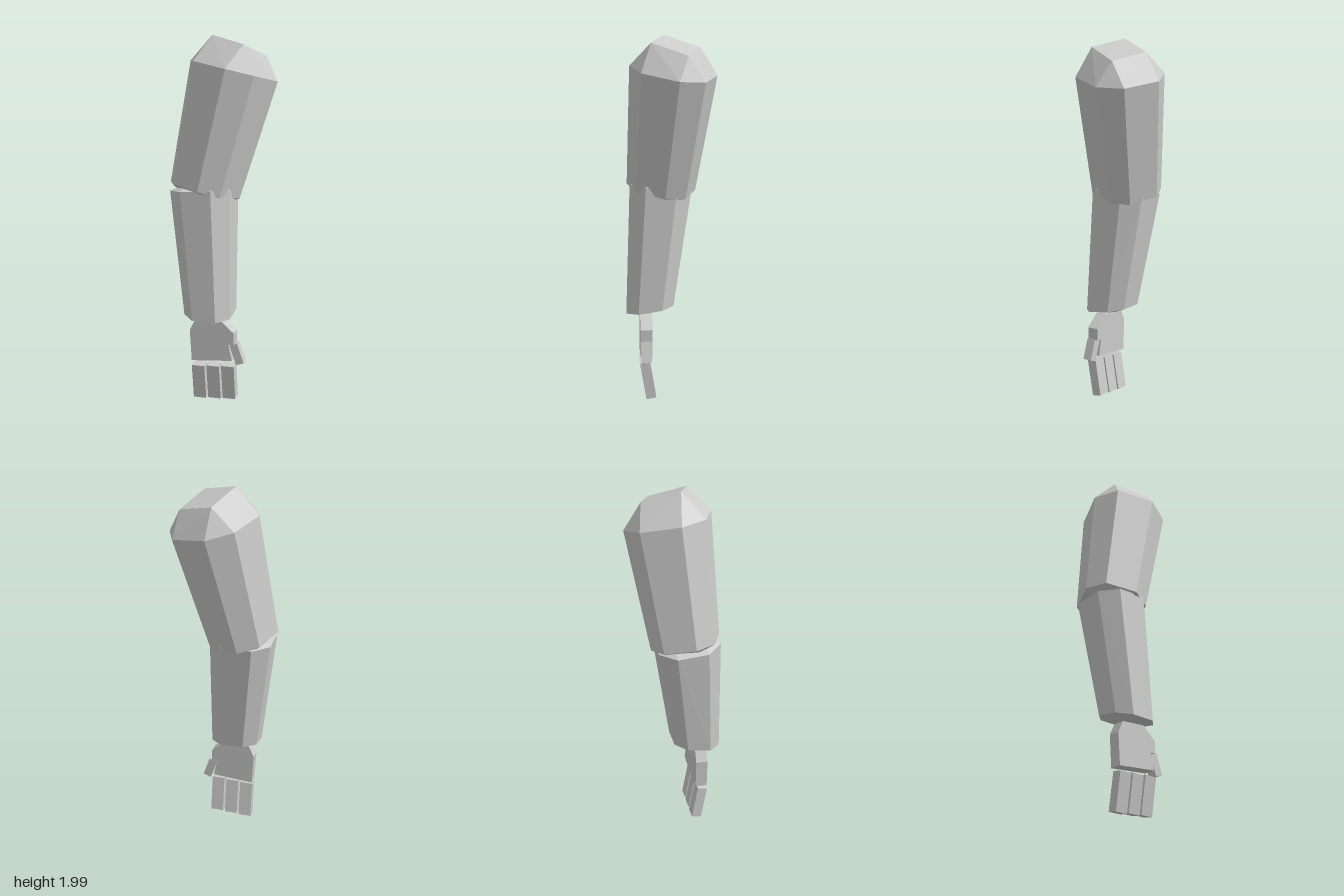
import * as THREE from 'three';
import { ConvexGeometry } from 'three/addons/geometries/ConvexGeometry.js';

const material = new THREE.MeshStandardMaterial({ color: 0xcccccc, flatShading: true });

function part(name, geometry) {
  const mesh = new THREE.Mesh(geometry, material);
  mesh.name = name;
  return mesh;
}

// Places flat outline points around a centre, turned by an angle and tilted by slopes in x and z
function section(outline, [cx, cy, cz], turn, slopeX, slopeZ) {
  return outline.map(([u, v]) => {
    const x = u * Math.cos(turn) - v * Math.sin(turn);
    const z = u * Math.sin(turn) + v * Math.cos(turn);
    return new THREE.Vector3(cx + x, cy + slopeX * x + slopeZ * z, cz + z);
  });
}

// Square outline, and a square with cut corners
const square = (h) => [[h, h], [-h, h], [-h, -h], [h, -h]];
const octagon = (h) => square(h).flatMap(([u, v]) => [[u, v / 2], [u / 2, v]]);

export function createModel() {
  const model = new THREE.Group();
  model.name = 'arm';

  // Upper arm: tapered octagonal prism with a faceted shoulder
  model.add(part('upperArm', new ConvexGeometry([
    ...section(square(0.102), [0.066, 1.943, 0.067], 0, -0.33, -0.21),
    ...section(octagon(0.21), [0.045, 1.81, 0.045], 0, -0.2, -0.15),
    ...section(octagon(0.17), [-0.065, 1.175, -0.065], 0, -0.2, -0.15),
    ...section(square(0.085), [-0.07, 1.135, -0.07], 0, -0.2, -0.15),
  ])));

  // Forearm: turned about its length, narrowing to the wrist
  const turn = -0.385;
  model.add(part('forearm', new ConvexGeometry([
    ...section(square(0.08), [-0.07, 1.215, -0.065], turn, -0.05, 0.08),
    ...section(octagon(0.167), [-0.07, 1.18, -0.065], turn, -0.05, 0.08),
    ...section(octagon(0.129), [-0.108, 0.51, 0.005], turn, 0.14, -0.08),
    ...section(square(0.065), [-0.108, 0.495, 0.005], turn, 0.14, -0.08),
  ])));

  // Hand, turned with the forearm
  const hand = new THREE.Group();
  hand.name = 'hand';
  hand.position.set(-0.12, 0, 0.035);
  hand.rotation.y = -turn;
  model.add(hand);

  // Palm: flat plate with bevelled upper corners and a notch for the thumb
  const outline = [[-0.115, 0.237], [0.115, 0.257], [0.095, 0.346], [0.125, 0.35],
    [0.125, 0.415], [0.045, 0.484], [-0.095, 0.474], [-0.125, 0.41]];
  const palm = new THREE.ExtrudeGeometry(
    new THREE.Shape(outline.map(([u, v]) => new THREE.Vector2(u, v))),
    { depth: 0.066, bevelEnabled: false });
  palm.translate(0, 0, -0.033).rotateY(-Math.PI / 2);
  hand.add(part('palm', palm));

  // Thumb
  const thumb = part('thumb', new THREE.BoxGeometry(0.052, 0.115, 0.045));
  thumb.position.set(0, 0.294, 0.139);
  thumb.rotation.x = -0.33;
  hand.add(thumb);

  // Three fingers, angled inward
  for (let i = -1; i <= 1; i++) {
    const finger = part('finger', new THREE.BoxGeometry(0.055, 0.203, 0.072));
    finger.position.set(0.008, 0.121 + i * 0.006, 0.006 + i * 0.084);
    finger.rotation.z = 0.17;
    hand.add(finger);
  }

  return model;
}
